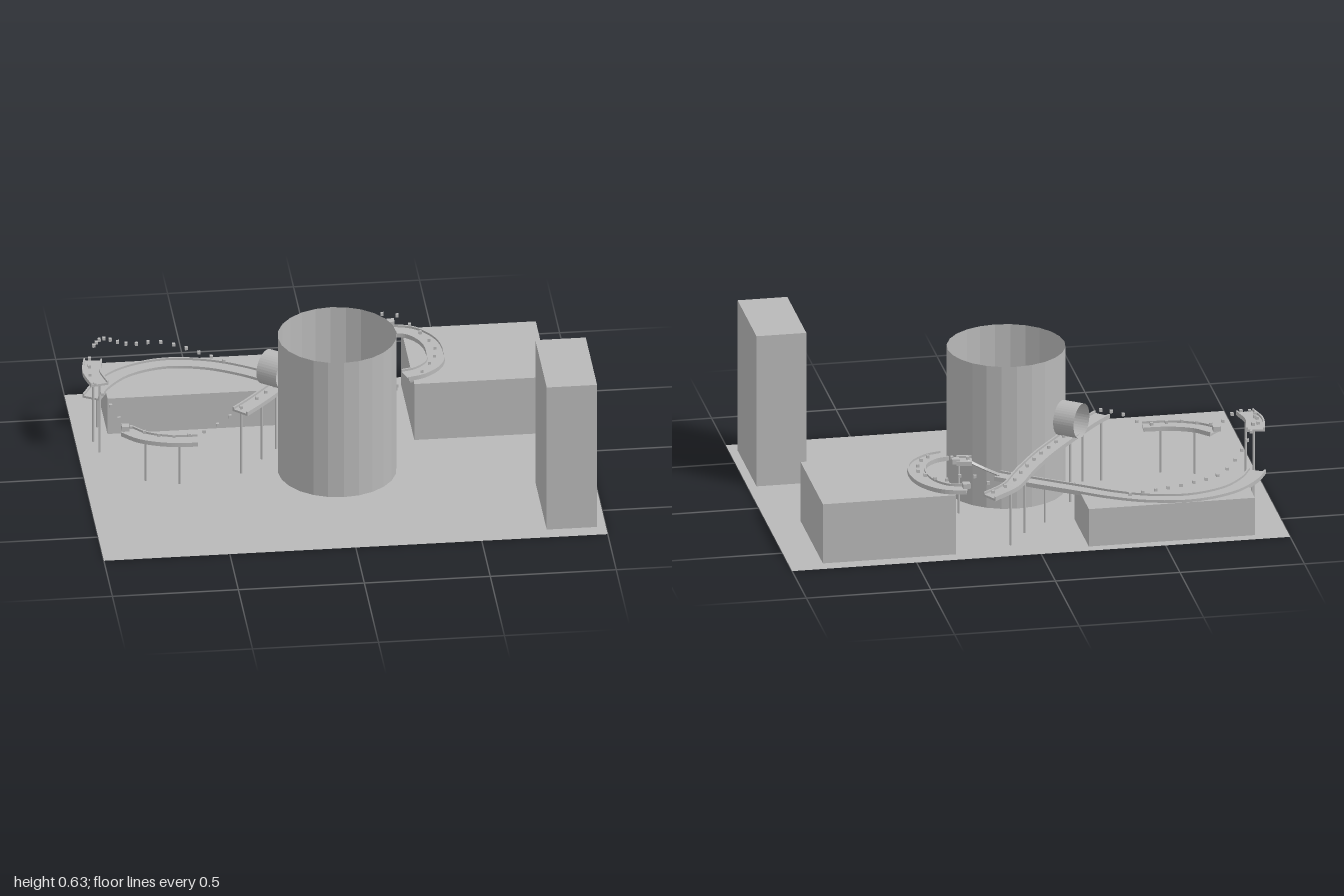
import * as THREE from 'three';

const grey = new THREE.MeshStandardMaterial({ color: 0xb8b8b8, side: THREE.DoubleSide, flatShading: true });
grey.name = 'plain grey';

const curveThrough = pts => new THREE.CatmullRomCurve3(pts.map(p => new THREE.Vector3(...p)));

// Track cross-section: a shallow channel with a raised lip on each side
const channel = [[-0.037, -0.012], [0.037, -0.012], [0.037, 0.006], [0.03, 0.006],
  [0.03, -0.003], [-0.03, -0.003], [-0.03, 0.006], [-0.037, 0.006]];

function sweepTrack(pts, steps) {
  const curve = curveThrough(pts), pos = [], idx = [], n = channel.length;
  const up = new THREE.Vector3(0, 1, 0);
  for (let i = 0; i <= steps; i++) {
    const p = curve.getPointAt(i / steps);
    const side = curve.getTangentAt(i / steps).cross(up).normalize();
    for (const [s, h] of channel) pos.push(p.x + side.x * s, p.y + h, p.z + side.z * s);
  }
  for (let i = 0; i < steps; i++) for (let j = 0; j < n; j++) {
    const a = i * n + j, b = i * n + (j + 1) % n;
    idx.push(a, b, b + n, a, b + n, a + n);
  }
  // End caps: floor and the two lips
  for (const [o, flip] of [[0, true], [steps * n, false]])
    for (const [a, b, c, d] of [[0, 1, 4, 5], [1, 2, 3, 4], [0, 5, 6, 7]])
      idx.push(...(flip ? [a, c, b, a, d, c] : [a, b, c, a, c, d]).map(k => k + o));
  const g = new THREE.BufferGeometry();
  g.setAttribute('position', new THREE.Float32BufferAttribute(pos, 3));
  g.setIndex(idx);
  g.computeVertexNormals();
  return g;
}

export function createModel() {
  const root = new THREE.Group();
  root.name = 'coasterSite';
  const add = (name, geo, x = 0, y = 0, z = 0) => {
    const m = new THREE.Mesh(geo, grey);
    m.name = name;
    m.position.set(x, y, z);
    root.add(m);
    return m;
  };
  const block = (name, x0, x1, h, z0, z1) =>
    add(name, new THREE.BoxGeometry(x1 - x0, h, z1 - z0), (x0 + x1) / 2, h / 2, (z0 + z1) / 2);

  // Ground and buildings
  add('ground', new THREE.PlaneGeometry(2, 1.4).rotateX(-Math.PI / 2));
  block('tallBuilding', 0.765, 0.965, 0.635, 0.235, 0.635);
  block('leftBuilding', 0.33, 0.865, 0.25, -0.64, -0.17);
  block('rightBuilding', -0.867, -0.2, 0.158, -0.655, -0.355);
  add('openTower', new THREE.CylinderGeometry(0.235, 0.235, 0.6, 24, 1, true), 0, 0.3, 0.04);

  // Track pieces
  const tracks = {
    crossingTrack: [[-0.385, 0.284, 0.04], [-0.31, 0.284, -0.04], [-0.22, 0.282, -0.15], [-0.07, 0.277, -0.34],
      [0.03, 0.265, -0.48], [0.1, 0.25, -0.58], [0.195, 0.235, -0.635]],
    leftBend: [[0.28, 0.263, -0.61], [0.36, 0.263, -0.585], [0.42, 0.263, -0.51], [0.44, 0.263, -0.41],
      [0.42, 0.263, -0.31], [0.36, 0.263, -0.25], [0.3, 0.263, -0.23]],
    lowTrack: [[0.09, 0.17, -0.25], [-0.05, 0.165, -0.34], [-0.2, 0.163, -0.44], [-0.31, 0.163, -0.52],
      [-0.45, 0.163, -0.59], [-0.62, 0.163, -0.615], [-0.78, 0.163, -0.56], [-0.88, 0.163, -0.46], [-0.93, 0.163, -0.37]],
    highTrack: [[-0.925, 0.333, -0.36], [-0.94, 0.333, -0.26], [-0.92, 0.333, -0.16]],
    rightBend: [[-0.83, 0.198, -0.01], [-0.77, 0.198, 0.05], [-0.67, 0.198, 0.09], [-0.56, 0.198, 0.1]],
    linkTrack: [[0.185, 0.225, -0.21], [0.245, 0.225, -0.2]]
  };
  for (const [name, pts] of Object.entries(tracks)) add(name, sweepTrack(pts, pts.length * 6));

  // Narrow steeply banked strip joining the low track to the link
  const strip = curveThrough([[0.08, 0.17, -0.255], [0.14, 0.19, -0.22], [0.2, 0.22, -0.205]]);
  add('bankedStrip', new THREE.TubeGeometry(strip, 10, 0.007, 4));

  // Vertical loop round the crossing track
  const loop = add('loop', new THREE.CylinderGeometry(0.07, 0.07, 0.09, 40, 1, true).rotateZ(Math.PI / 2), -0.222, 0.352, -0.168);
  loop.rotation.y = -0.65;

  // Support posts: x, z, height
  const posts = [[-0.93, -0.3, 0.33], [-0.915, -0.21, 0.33], [-0.9, -0.42, 0.16], [-0.76, 0.05, 0.19], [-0.63, 0.09, 0.19],
    [-0.38, 0.03, 0.28], [-0.285, -0.08, 0.28], [-0.22, -0.16, 0.28], [0.02, -0.46, 0.26], [0.1, -0.58, 0.24],
    [-0.08, -0.36, 0.16], [0.235, -0.2, 0.22]];
  for (const [x, z, h] of posts) add('post', new THREE.CylinderGeometry(0.005, 0.005, h, 8), x, h / 2, z);

  // Small cubes strung along the ride
  const strings = [
    [14, [[-0.38, 0.18, -0.58], [-0.62, 0.24, -0.65], [-0.75, 0.26, -0.61], [-0.87, 0.35, -0.5], [-0.92, 0.39, -0.37]]],
    [15, [[-0.94, 0.35, -0.34], [-0.95, 0.34, -0.2], [-0.9, 0.3, -0.08], [-0.84, 0.23, -0.01], [-0.7, 0.215, 0.08],
      [-0.56, 0.215, 0.08], [-0.47, 0.26, 0.09], [-0.38, 0.3, 0.04]]],
    [12, [[-0.31, 0.295, -0.04], [-0.22, 0.293, -0.15], [-0.07, 0.288, -0.34], [0.03, 0.276, -0.48], [0.1, 0.262, -0.58], [0.18, 0.25, -0.63]]],
    [12, [[0.2, 0.29, -0.635], [0.28, 0.33, -0.63], [0.36, 0.295, -0.58], [0.44, 0.275, -0.41], [0.38, 0.27, -0.26], [0.3, 0.24, -0.2], [0.2, 0.23, -0.2]]]
  ];
  const cube = new THREE.BoxGeometry(0.012, 0.012, 0.012);
  for (const [n, pts] of strings)
    for (const p of curveThrough(pts).getSpacedPoints(n)) add('marker', cube, p.x, p.y, p.z);
  for (const [x, y, z] of [[0.287, 0.285, -0.63], [0.25, 0.225, -0.205], [-0.835, 0.21, -0.01]])
    add('carriage', new THREE.BoxGeometry(0.03, 0.02, 0.03), x, y, z);

  return root;
}
